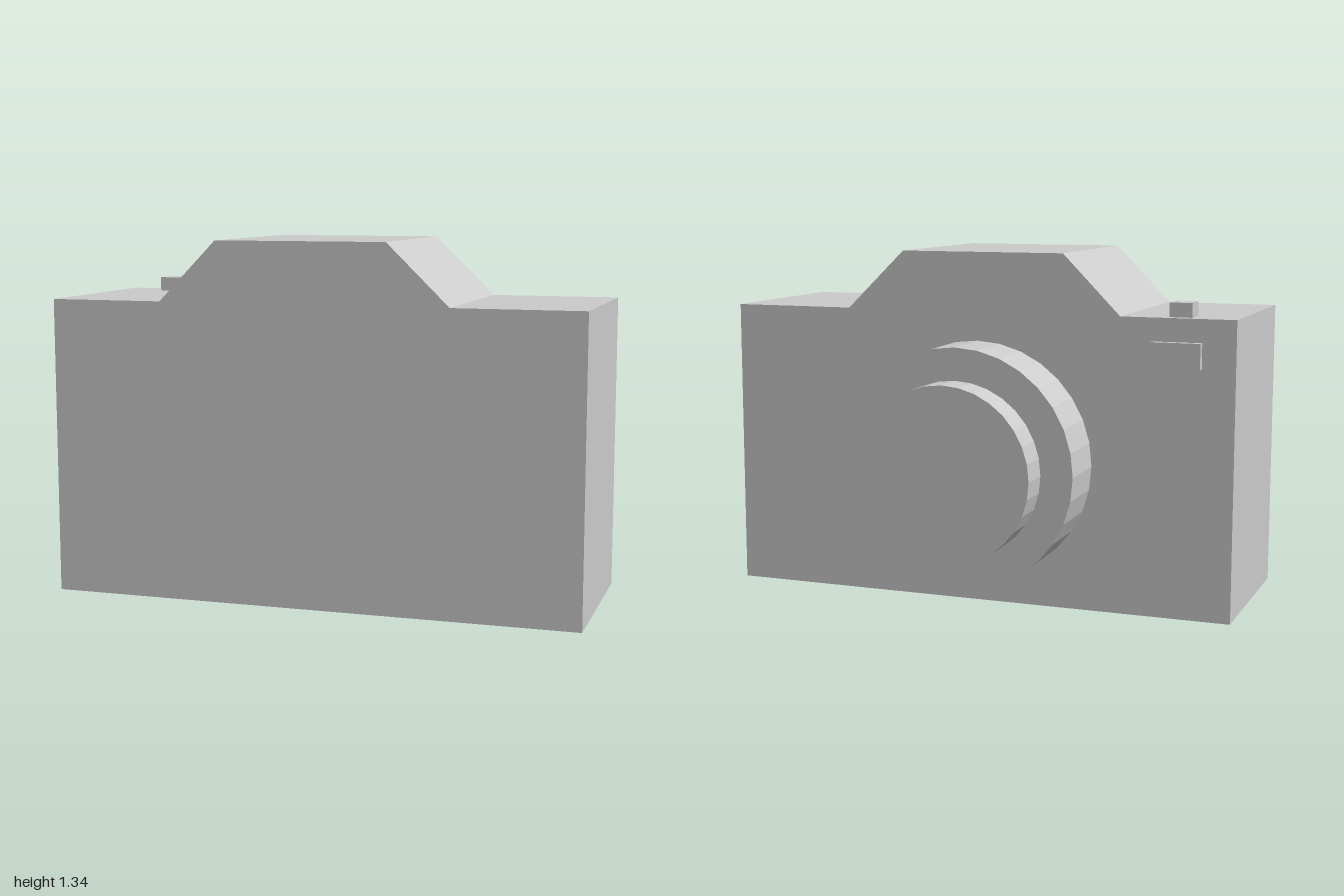
import * as THREE from 'three';

export function createModel() {
  const model = new THREE.Group();
  const material = new THREE.MeshStandardMaterial({ color: 0xcccccc, flatShading: true });

  function add(name, geometry, x = 0, y = 0, z = 0) {
    const mesh = new THREE.Mesh(geometry, material);
    mesh.name = name;
    mesh.position.set(x, y, z);
    model.add(mesh);
    return mesh;
  }

  // Body with the raised prism hump, extruded front to back
  const outline = new THREE.Shape([
    [-1, 0], [1, 0], [1, 1.112], [0.52, 1.112],
    [0.29, 1.336], [-0.35, 1.336], [-0.57, 1.112], [-1, 1.112],
  ].map(([x, y]) => new THREE.Vector2(x, y)));
  const backZ = -0.18, depth = 0.715;
  add('body', new THREE.ExtrudeGeometry(outline, { depth, bevelEnabled: false }), 0, 0, backZ);

  // Stepped lens barrel, drooping very slightly; each ring is sunk into the part behind it
  const lens = new THREE.Group();
  lens.name = 'lens';
  lens.position.set(-0.014, 0.55, backZ);
  lens.rotation.x = -Math.PI / 2 - 0.011;
  model.add(lens);
  for (const [name, radius, start, end] of [
    ['lensBarrel', 0.453, -0.03, 0.226],
    ['lensFrontRing', 0.331, 0.2, 0.354],
  ]) {
    const ring = add(name, new THREE.CylinderGeometry(radius, radius, end - start, 32), 0, (start + end) / 2, 0);
    lens.add(ring);
  }

  // Shutter button on the top plate
  add('shutterButton', new THREE.BoxGeometry(0.085, 0.075, 0.09), -0.787, 1.1275, -0.1);

  // Small window beside the lens
  add('viewfinderWindow', new THREE.BoxGeometry(0.187, 0.095, 0.046), -0.782, 0.978, -0.184);

  return model;
}
